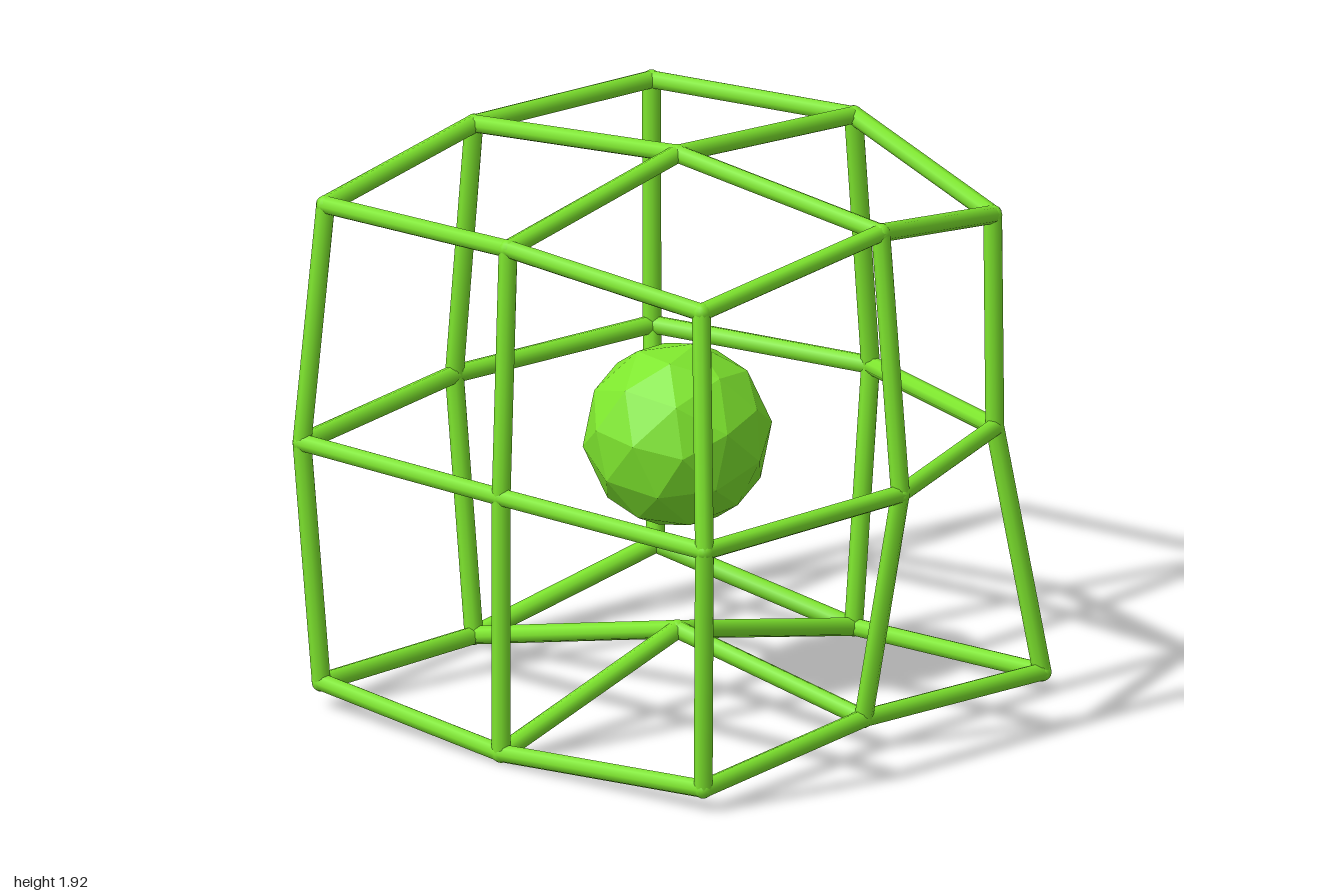
import * as THREE from 'three';

const CENTER = new THREE.Vector3(-0.045, 0.924, 0);
const BAR_RADIUS = 0.031;

// Reach of each cage node along its grid direction, keyed by the signs of x, y, z
const REACH = {
  // face centres
  '+00': 0.97, '-00': 0.885, '0+0': 0.97, '0-0': 0.675, '00+': 0.97, '00-': 0.97,
  // edge middles
  '++0': 0.885, '-+0': 0.85, '+-0': 0.885, '--0': 0.885,
  '+0+': 0.74, '+0-': 0.825, '-0+': 0.88, '-0-': 0.875,
  '0++': 0.885, '0+-': 0.885, '0-+': 0.81, '0--': 0.885,
  // corners
  '+++': 0.735, '++-': 0.84, '+-+': 0.85, '+--': 0.70,
  '-++': 0.78, '-+-': 0.82, '--+': 0.84, '---': 0.83,
};

const SIGN = { '+': 1, '0': 0, '-': -1 };

export function createModel() {
  const group = new THREE.Group();
  const smooth = new THREE.MeshStandardMaterial({ color: 0x7ee62e });
  const faceted = new THREE.MeshStandardMaterial({ color: 0x7ee62e, flatShading: true });

  // Cage nodes
  const nodes = Object.entries(REACH).map(([key, reach]) => {
    const dir = new THREE.Vector3(...[...key].map((c) => SIGN[c]));
    return { dir, pos: dir.clone().multiplyScalar(reach).add(CENTER) };
  });

  const cage = new THREE.Group();
  cage.name = 'cage';
  group.add(cage);

  // Rounded joint at every node
  const jointGeometry = new THREE.SphereGeometry(BAR_RADIUS * 1.04, 12, 8);
  for (const { pos } of nodes) {
    const joint = new THREE.Mesh(jointGeometry, smooth);
    joint.name = 'cageJoint';
    joint.position.copy(pos);
    cage.add(joint);
  }

  // Bar between every pair of neighbouring nodes
  const up = new THREE.Vector3(0, 1, 0);
  nodes.forEach((a, i) => {
    for (const b of nodes.slice(i + 1)) {
      if (a.dir.manhattanDistanceTo(b.dir) !== 1) continue;
      const span = b.pos.clone().sub(a.pos);
      const bar = new THREE.Mesh(
        new THREE.CylinderGeometry(BAR_RADIUS, BAR_RADIUS, span.length(), 8, 1, true), smooth);
      bar.name = 'cageBar';
      bar.position.copy(a.pos).addScaledVector(span, 0.5);
      bar.quaternion.setFromUnitVectors(up, span.normalize());
      cage.add(bar);
    }
  });

  // Faceted ball floating in the middle
  const core = new THREE.Mesh(new THREE.IcosahedronGeometry(0.314, 1), faceted);
  core.name = 'coreBall';
  core.position.copy(CENTER);
  core.rotation.set(0.15, 0.2, -0.17);
  group.add(core);

  return group;
}
